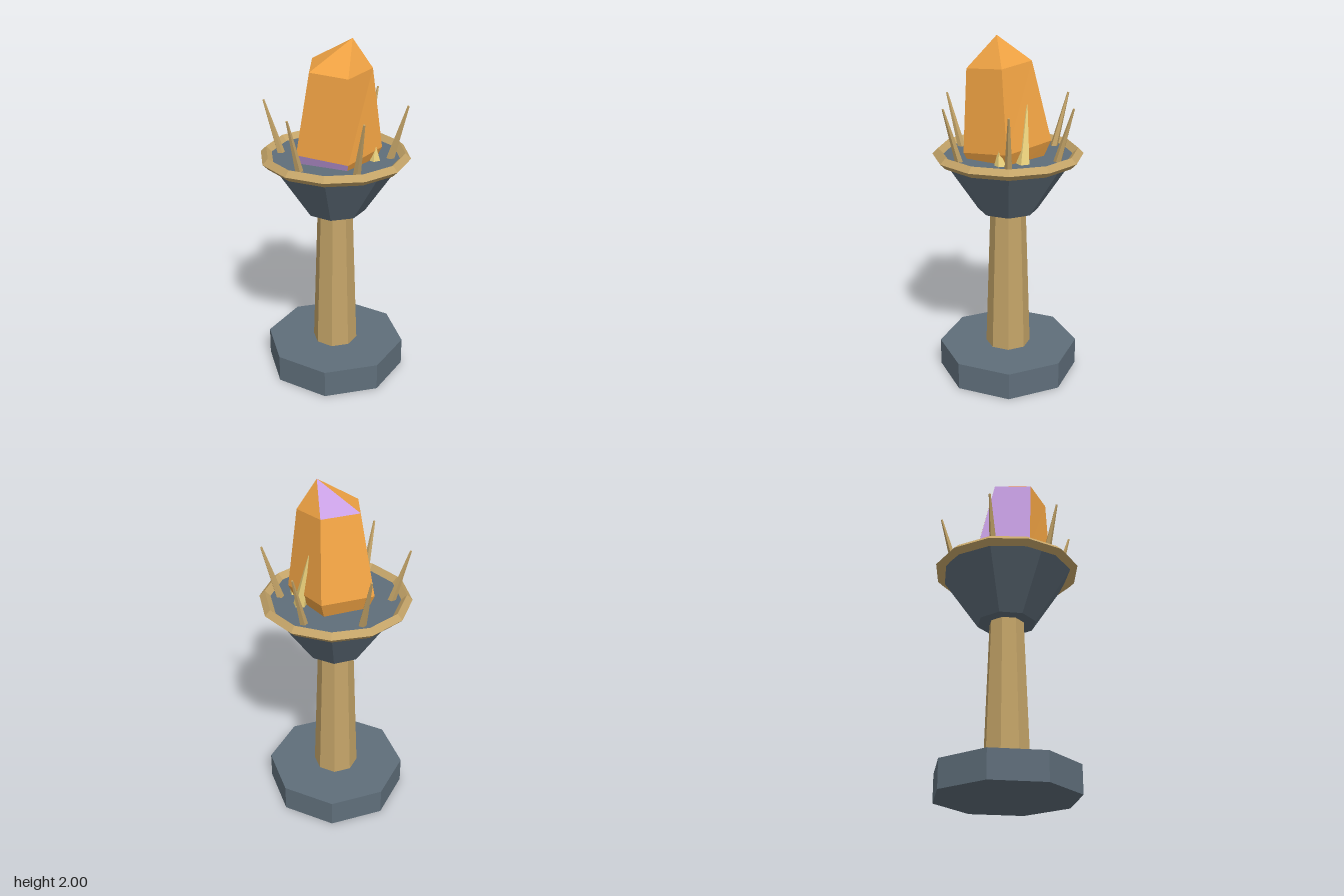
import * as THREE from 'three';

const mat = (color) => new THREE.MeshStandardMaterial({ color, flatShading: true });
const slate = mat(0x5f6e7a);
const tan = mat(0xc4a468);
const orange = mat(0xf2a444);
const lilac = mat(0xc79fe3);
const yellow = mat(0xecd27c);

function add(parent, name, geometry, material) {
  const mesh = new THREE.Mesh(geometry, material);
  mesh.name = name;
  parent.add(mesh);
  return mesh;
}

// Upright faceted drum between two heights
function drum(parent, name, rTop, rBottom, y0, y1, sides, material) {
  const mesh = add(parent, name, new THREE.CylinderGeometry(rTop, rBottom, y1 - y0, sides), material);
  mesh.position.y = (y0 + y1) / 2;
  return mesh;
}

// Tapered spike running from a base point to a tip point
function spike(parent, name, from, to, rTip, rBase, sides, material) {
  const a = new THREE.Vector3(...from);
  const b = new THREE.Vector3(...to);
  const dir = b.clone().sub(a);
  const mesh = add(parent, name, new THREE.CylinderGeometry(rTip, rBase, dir.length(), sides), material);
  mesh.position.copy(a).add(b).multiplyScalar(0.5);
  mesh.quaternion.setFromUnitVectors(new THREE.Vector3(0, 1, 0), dir.normalize());
  return mesh;
}

// Irregular five-sided crystal: foot, belly and shoulder rings closed by an apex
function crystal() {
  const shoulder = [[-0.13, 1.86, -0.04], [0.07, 1.86, -0.125], [0.205, 1.84, 0.035], [0.1, 1.825, 0.22], [-0.11, 1.84, 0.175]];
  const belly = [[-0.213, 1.415, -0.115], [0.062, 1.42, -0.235], [0.26, 1.395, 0.01], [0.105, 1.365, 0.243], [-0.185, 1.385, 0.18]];
  const foot = belly.map(([x, y, z]) => [x * 0.78, y - 0.12, z * 0.78]);
  const apex = [0.1, 2, 0.06];
  const main = [];
  const accent = [];
  const quad = (out, a, b, c, d) => out.push(...a, ...b, ...c, ...a, ...c, ...d);
  for (let i = 0; i < 5; i++) {
    const n = (i + 1) % 5;
    // Tinted facets: one on the crown, one on the side, one on the underside
    (i === 0 ? accent : main).push(...shoulder[n], ...shoulder[i], ...apex);
    quad(i === 4 ? accent : main, belly[n], belly[i], shoulder[i], shoulder[n]);
    quad(i === 3 ? accent : main, foot[n], foot[i], belly[i], belly[n]);
    main.push(...foot[i], ...foot[n], 0, 1.2, 0);
  }
  const group = new THREE.Group();
  group.name = 'crystal';
  for (const [name, points, material] of [['crystalFacets', main, orange], ['tintedFacets', accent, lilac]]) {
    const g = new THREE.BufferGeometry();
    g.setAttribute('position', new THREE.Float32BufferAttribute(points, 3));
    g.computeVertexNormals();
    add(group, name, g, material);
  }
  return group;
}

export function createModel() {
  const model = new THREE.Group();
  model.name = 'crystalPedestal';

  // Pedestal
  drum(model, 'base', 0.405, 0.405, 0, 0.16, 8, slate);
  drum(model, 'column', 0.1, 0.13, 0.16, 1.02, 8, tan);
  drum(model, 'bowl', 0.39, 0.17, 1.005, 1.33, 8, slate);

  // Diamond-section rim around the bowl
  const rim = add(model, 'rim', new THREE.TorusGeometry(0.389, 0.031, 4, 12), tan);
  rim.rotation.x = Math.PI / 2;
  rim.position.y = 1.33;

  // Six prongs leaning outward
  const prongs = new THREE.Group();
  prongs.name = 'prongs';
  for (let i = 0; i < 6; i++) {
    const arm = new THREE.Group();
    arm.name = 'prongArm';
    arm.rotation.y = (i * Math.PI) / 3;
    spike(arm, 'prong', [0.298, 1.3, 0], [0.396, 1.63, 0], 0.006, 0.024, 5, tan);
    prongs.add(arm);
  }
  model.add(prongs);

  // Crystal with two small shards at its foot
  model.add(crystal());
  spike(model, 'tallShard', [0.19, 1.31, -0.078], [0.135, 1.64, -0.1], 0.002, 0.042, 5, yellow);
  spike(model, 'smallShard', [0.222, 1.3, 0.04], [0.225, 1.425, 0.05], 0.002, 0.045, 5, yellow);

  return model;
}
